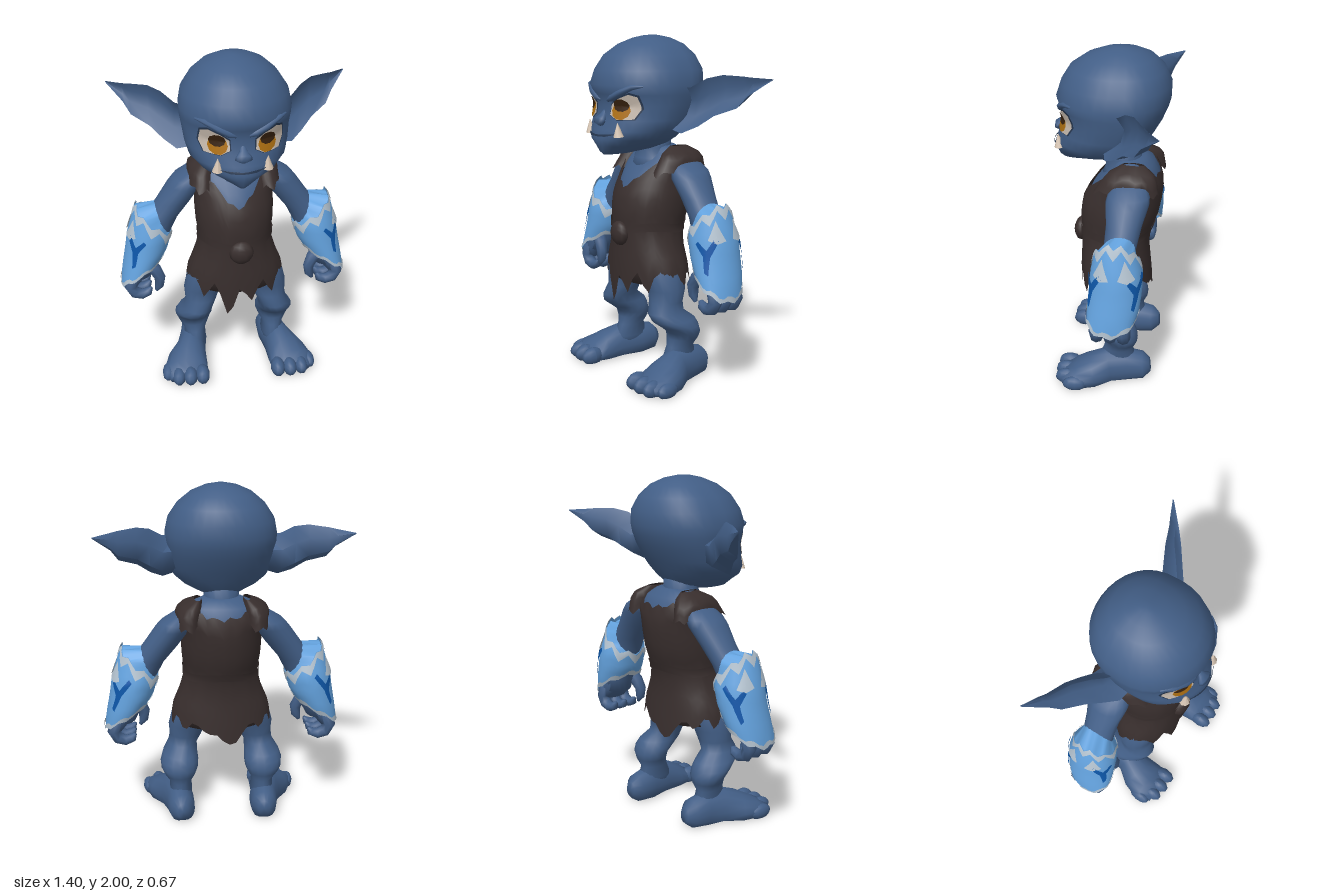
import * as THREE from 'three';
import { toCreasedNormals } from 'three/addons/utils/BufferGeometryUtils.js';

const mat = (name, color, side = THREE.FrontSide) => {
  const m = new THREE.MeshStandardMaterial({ color, side });
  m.name = name;
  return m;
};
const D = THREE.DoubleSide;
const V = (x, y, z) => new THREE.Vector3(x, y, z);

// Turn every triangle round
function flip(geo) {
  const ix = geo.index.array;
  for (let i = 0; i < ix.length; i += 3) [ix[i], ix[i + 1]] = [ix[i + 1], ix[i]];
  geo.computeVertexNormals();
  return geo;
}

// Closed loops of points joined into a skin; capped skins are turned outward
function grid(nu, nv, f, cap) {
  const pos = [], ix = [];
  for (let j = 0; j <= nv; j++) for (let i = 0; i < nu; i++) pos.push(f(i, j));
  for (let j = 0; j < nv; j++) for (let i = 0; i < nu; i++) {
    const a = j * nu + i, b = j * nu + (i + 1) % nu;
    ix.push(a, b, a + nu, b, b + nu, a + nu);
  }
  if (cap) for (const [o, s] of [[0, 1], [nv * nu, 0]]) {
    const mid = V(0, 0, 0);
    for (let i = 0; i < nu; i++) mid.addScaledVector(pos[o + i], 1 / nu);
    const c = pos.push(mid) - 1;
    for (let i = 0; i < nu; i++) {
      const a = o + i, b = o + (i + 1) % nu;
      s ? ix.push(c, b, a) : ix.push(c, a, b);
    }
  }
  const geo = new THREE.BufferGeometry().setFromPoints(pos);
  geo.setIndex(ix);
  geo.computeVertexNormals();
  let vol = 0;
  for (let i = 0; i < ix.length; i += 3) {
    vol += pos[ix[i]].dot(V(0, 0, 0).crossVectors(pos[ix[i + 1]], pos[ix[i + 2]]));
  }
  return cap && vol < 0 ? flip(geo) : geo;
}

// Profiles are rows of [y, xMin, xMax, zBack, zFront], from the top down
const sym = rows => rows.map(([y, w, b, f]) => [y, -w, w, b, f]);
function at(rows, y) {
  let i = 0;
  while (i < rows.length - 2 && y < rows[i + 1][0]) i++;
  const t = THREE.MathUtils.clamp((rows[i][0] - y) / (rows[i][0] - rows[i + 1][0]), 0, 1);
  return rows[i].map((v, k) => v + (rows[i + 1][k] - v) * t);
}
// A "back" below 1 makes the rear half squarer
function surf(rows, a, y, s = 1, lift = 0, back = 1) {
  const [, x0, x1, z0, z1] = at(rows, y), sn = Math.sin(a);
  return V((x0 + x1) / 2 + ((x1 - x0) / 2 * s + lift) * Math.cos(a), y,
    (z0 + z1) / 2 + ((z1 - z0) / 2 * s + lift) * (sn < 0 ? -((-sn) ** back) : sn));
}
const solid = (rows, n, s = 1, back = 1) =>
  grid(n, rows.length - 1, (i, j) => surf(rows, i / n * 2 * Math.PI, rows[j][0], s, 0, back), true);
// Open cloth or armour between two edge heights
const shell = (rows, n, m, top, bottom, lift) => grid(n, m, (i, j) => {
  const a = i / n * 2 * Math.PI, t = top(a, i);
  return surf(rows, a, t + (bottom(a, i) - t) * j / m, 1, lift);
});

// Oval sections [x, y, z, ru, rv] along a path
function sweep(rows, ref, n = 10) {
  const p = rows.map(r => V(r[0], r[1], r[2]));
  return grid(n, rows.length - 1, (i, j) => {
    const t = p[Math.min(j + 1, p.length - 1)].clone().sub(p[Math.max(j - 1, 0)]).normalize();
    const u = t.clone().cross(ref).normalize(), v = u.clone().cross(t), a = i / n * 2 * Math.PI;
    return p[j].clone().addScaledVector(u, rows[j][3] * Math.cos(a)).addScaledVector(v, rows[j][4] * Math.sin(a));
  }, true);
}

// Thin painted polygon laid on a surface f(u, v)
function patch(poly, f) {
  const k = 3, n = poly.length, c = [0, 1].map(d => poly.reduce((s, p) => s + p[d], 0) / n);
  return grid(n * k, 4, (i, j) => {
    const a = poly[Math.floor(i / k)], b = poly[(Math.floor(i / k) + 1) % n], t = (i % k) / k;
    return f(...[0, 1].map(d => c[d] + (a[d] + (b[d] - a[d]) * t - c[d]) * j / 4));
  });
}
const oval = (x, y, rx, ry) => Array.from({ length: 10 }, (_, i) =>
  [x + rx * Math.cos(i * Math.PI / 5), y + ry * Math.sin(i * Math.PI / 5)]);

const HEAD = sym([[2, .03, -.09, -.01], [1.985, .1, -.16, .06], [1.95, .175, -.235, .15], [1.89, .245, -.295, .235],
  [1.81, .298, -.33, .285], [1.73, .315, -.328, .312], [1.68, .312, -.315, .295], [1.62, .302, -.29, .275],
  [1.54, .29, -.245, .292], [1.48, .272, -.205, .315], [1.43, .22, -.175, .33], [1.39, .145, -.14, .315],
  [1.36, .08, -.06, .305], [1.34, .035, .1, .285]]);
const TORSO = sym([[1.37, .12, -.2, -.02], [1.33, .235, -.25, 0], [1.27, .26, -.29, .06], [1.2, .23, -.3, .12],
  [1.1, .235, -.29, .17], [1, .23, -.27, .185], [.9, .215, -.23, .18], [.8, .24, -.22, .18],
  [.68, .29, -.23, .185], [.58, .3, -.24, .185], [.42, .28, -.25, .18]]);
const STRAP = [[1.372, .12, .16, -.2, -.08], [1.355, .11, .21, -.24, -.03], [1.32, .11, .262, -.275, .01], [1.2, .11, .285, -.295, .09]];
const ARM = [[1.31, .18, .23, -.18, -.08], [1.28, .17, .285, -.23, -.04], [1.24, .17, .35, -.25, -.015], [1.2, .18, .385, -.25, -.005],
  [1.1, .25, .455, -.22, -.02], [1, .33, .53, -.2, -.02], [.92, .37, .59, -.19, -.01], [.8, .43, .63, -.19, -.01],
  [.7, .47, .655, -.18, 0], [.62, .51, .66, -.17, 0]];
const BRACER = [[1.13, .47, .55, -.17, -.05], [1.08, .42, .585, -.2, 0], [1, .385, .61, -.22, .02], [.9, .37, .64, -.25, .04],
  [.8, .4, .655, -.25, .045], [.7, .46, .675, -.24, .05], [.6, .53, .692, -.21, .05], [.55, .57, .69, -.19, .04]];
const LEG = [[.8, 0, .22, -.17, .12], [.65, .06, .29, -.15, .12], [.55, .09, .315, -.12, .1], [.48, .115, .31, -.1, .1],
  [.42, .145, .32, -.1, .13], [.37, .145, .355, -.165, .11], [.33, .14, .37, -.185, .055], [.29, .145, .365, -.195, .005],
  [.25, .16, .345, -.19, 0], [.2, .185, .315, -.165, .01], [.13, .18, .32, -.19, .04], [.05, .2, .3, -.2, .04]];

function headPoint(x, y, lift = .008) {
  const [, , w, b, f] = at(HEAD, y);
  return V(x, y, (b + f) / 2 + (f - b) / 2 * Math.sqrt(Math.max(0, 1 - (x / w) ** 2)) + lift);
}

export function createModel() {
  const g = new THREE.Group();
  g.name = 'creature';
  const skin = mat('skin blue', 0x425e86), cloth = mat('dark cloth', 0x382e2d, D);
  const armour = mat('bracer blue', 0x64a3df, D), pale = mat('pale edge', 0xb4c3d0, D), rune = mat('rune blue', 0x0d56a8, D);
  const white = mat('eye white', 0xcabdb0, D), amber = mat('amber iris', 0xae7012, D), dark = mat('pupil brown', 0x38220f, D);
  const line = mat('dark skin line', 0x263750, D), ivory = mat('tusk ivory', 0xd8c6b4);

  const add = (name, geo, m) => {
    const mesh = new THREE.Mesh(geo, m);
    mesh.name = name;
    g.add(mesh);
  };
  // The part on the left and its mirror image on the right
  const pair = (name, geo, m, crease) => {
    const other = flip(geo.clone().scale(-1, 1, 1));
    [[geo, 'left'], [other, 'right']].forEach(([q, s]) => add(s + name, crease ? toCreasedNormals(q, crease) : q, m));
  };

  // Head, face and neck
  add('head', solid(HEAD, 32, 1, .75), skin);
  add('neck', solid(sym([[1.46, .11, -.17, .03], [1.36, .1, -.17, .03], [1.3, .13, -.2, .04], [1.2, .17, -.22, .08]]), 16), skin);
  add('nose', sweep([[0, 1.59, .27, .012, .01], [0, 1.56, .288, .024, .016], [0, 1.54, .308, .044, .022],
    [0, 1.525, .31, .048, .022], [0, 1.51, .3, .025, .012]], V(0, 0, 1)), skin);
  add('mouth', patch([[-.14, 1.467], [-.07, 1.46], [0, 1.458], [.07, 1.46], [.14, 1.467],
    [.07, 1.449], [0, 1.447], [-.07, 1.449]], (x, y) => headPoint(x, y, .009)), line);
  const eye = [[.07, 1.57], [.073, 1.625], [.12, 1.658], [.185, 1.685], [.222, 1.672], [.23, 1.605], [.205, 1.55], [.12, 1.543]];
  pair('EyeRim', patch(eye.map(([x, y]) => [.15 + (x - .15) * 1.08, 1.618 + (y - 1.615) * 1.1]),
    (x, y) => headPoint(x, y, .004)), line);
  pair('EyeWhite', patch(eye, headPoint), white);
  pair('Iris', patch(oval(.135, 1.595, .053, .051), (x, y) => headPoint(x, y, .011)), amber);
  pair('Pupil', patch(oval(.138, 1.624, .045, .035), (x, y) => headPoint(x, y, .014)), dark);
  pair('Brow', sweep([[.035, 1.645, .008], [.07, 1.66, .02], [.13, 1.69, .02], [.2, 1.725, .016], [.245, 1.73, .006]]
    .map(([x, y, r]) => [...headPoint(x, y, -.006).toArray(), r, r * 1.2]), V(0, 0, 1), 8), skin);
  const tusk = new THREE.ConeGeometry(.031, .08, 8).rotateX(.12);
  tusk.translate(...headPoint(.138, 1.492, .005).toArray());
  pair('Tusk', tusk, ivory);

  // Ears: cupped sections [x, top, bottom, zTop, zBottom, zBack]
  const ear = [[.25, 1.71, 1.49, -.03, .01, -.14], [.33, 1.72, 1.47, -.075, -.01, -.17], [.4, 1.77, 1.51, -.13, -.07, -.205],
    [.47, 1.79, 1.57, -.185, -.125, -.24], [.57, 1.785, 1.615, -.24, -.2, -.28], [.61, 1.78, 1.68, -.265, -.24, -.3],
    [.7, 1.773, 1.767, -.335, -.333, -.341]];
  const cup = [[0, 0], [.3, .6], [.65, .55], [1, 0], [.75, .85], [.3, 1]];
  pair('Ear', grid(6, ear.length - 1, (i, j) => {
    const [x, t, b, ft, fb, k] = ear[j], [v, d] = cup[i], f = ft + (fb - ft) * v;
    return V(x, t + (b - t) * v, f + (k - f) * d);
  }, true), skin, 1.1);

  // Torso, ragged tunic with shoulder straps, and cloth under the hem
  add('torso', solid(TORSO.slice(0, 7), 24, .92), skin);
  add('underCloth', solid(TORSO.slice(6, 10), 24, .88), cloth);
  const neckline = (a, i) => 1.345 - .19 * Math.max(0, Math.sin(a)) ** 6 - .05 * Math.max(0, -Math.sin(a)) ** 4
    - .012 * (1 + Math.sin(i * 2.3));
  const spike = (a, c, w) => Math.exp(-(((a - c) / w) ** 2));
  const hem = (a, i) => [.54, .58, .62, .59][(i + 2) % 4] + .025 * Math.sin(i * 1.7) + .03 * Math.abs(Math.cos(a))
    - .11 * spike(a, 1.75, .16) - .09 * spike(a, 4.6, .25);
  add('tunic', shell(TORSO, 48, 14, neckline, hem, 0), cloth);
  pair('ShoulderStrap', shell(STRAP, 24, 4, () => 1.372,
    (a, i) => 1.28 - .06 * Math.abs(Math.sin(a)) + .016 * Math.sin(i * 2.1), 0), cloth);
  add('waistFold', shell(TORSO, 32, 2, a => .935 + .012 * Math.sin(3 * a), a => .885 + .012 * Math.sin(3 * a), .008), cloth);
  add('beltKnot', new THREE.SphereGeometry(.072, 10, 8).scale(1, 1, .6).translate(.01, .87, .185), cloth);

  // Arms and bracers, closed onto the arm at the elbow
  pair('Arm', solid(ARM, 16), skin);
  const jag = i => (i % 4 < 2 ? i % 4 : 4 - i % 4) * .02;
  const top = (a, i) => .99 + .095 * Math.cos(a) + jag(i) * .8 - .01;
  const low = (a, i) => .66 - .085 * Math.cos(a) + jag(i + 1) * .5 - .01;
  pair('Bracer', shell(BRACER, 32, 8, top, low, 0), armour);
  pair('BracerCollar', grid(32, 1, (i, j) => {
    const a = i / 16 * Math.PI;
    return j ? surf(ARM, a, top(a, 0) + .01, .97) : surf(BRACER, a, top(a, i) - .025);
  }), armour);
  pair('BracerTopEdge', shell(BRACER, 32, 2, top, (a, i) => top(a, i) - .03 - jag(i + 2) * .7, .005), pale);
  pair('BracerLowEdge', shell(BRACER, 32, 1, (a, i) => low(a, i) + .02 + jag(i + 2) * .4, low, .005), pale);
  const onBracer = c => (u, v) => surf(BRACER, c + u / .14, v, 1, .008);
  for (const [side, c] of [['Front', .95], ['Back', -.95]]) {
    pair(side + 'Rune', patch([[-.068, .91], [-.05, .93], [0, .86], [.045, .905], [.062, .89], [.02, .825],
      [.026, .74], [.004, .725], [-.018, .825]], onBracer(c)), rune);
    pair(side + 'Spike', patch([[-.05, .91], [0, 1.02], [.05, .915], [0, .895]], onBracer(c * .55)), pale);
  }

  // Hands with curled fingers
  const Z = V(0, 0, 1);
  pair('Palm', sweep([[.54, .77, -.08, .07, .07], [.56, .7, -.085, .075, .09], [.6, .63, -.085, .055, .1], [.62, .57, -.085, .03, .09]], Z), skin);
  for (let i = 0; i < 3; i++) {
    const z = -.01 - i * .075;
    pair('Finger' + (i + 1), sweep([[.62, .64, z, .037, .038], [.64, .575, z, .038, .04], [.615, .53, z, .036, .039],
      [.57, .515, z, .031, .035], [.53, .53, z, .026, .029], [.515, .555, z, .01, .012]], Z, 8), skin);
  }
  pair('Thumb', sweep([[.53, .72, -.03, .05, .045], [.485, .68, -.01, .04, .04], [.46, .63, 0, .034, .034],
    [.465, .575, .0, .027, .027], [.485, .54, 0, .01, .01]], Z, 8), skin);

  // Legs, feet and toes, with soles flattened to the ground
  const flat = geo => {
    const p = geo.attributes.position;
    for (let i = 0; i < p.count; i++) p.setY(i, Math.max(p.getY(i), 0));
    geo.computeVertexNormals();
    return geo;
  };
  pair('Leg', solid(LEG, 16), skin);
  pair('Foot', flat(sweep([[.245, .08, -.272, .035, .045], [.247, .075, -.23, .075, .09], [.255, .07, -.13, .085, .115],
    [.28, .06, -.02, .09, .13], [.315, .045, .08, .125, .105], [.335, .035, .16, .138, .075], [.325, .03, .225, .115, .045]],
  V(0, 1, 0), 16)), skin);
  [[.238, .045, .222], [.312, .044, .225], [.382, .042, .215], [.442, .038, .16]].forEach(([x, r, z], i) => {
    const toe = new THREE.SphereGeometry(1, 10, 8).scale(r, r * 1.2, .075);
    pair('Toe' + (i + 1), flat(toe.rotateY((x - .28) * .7).translate(x, r * .85, z)), skin);
  });
  return g;
}
